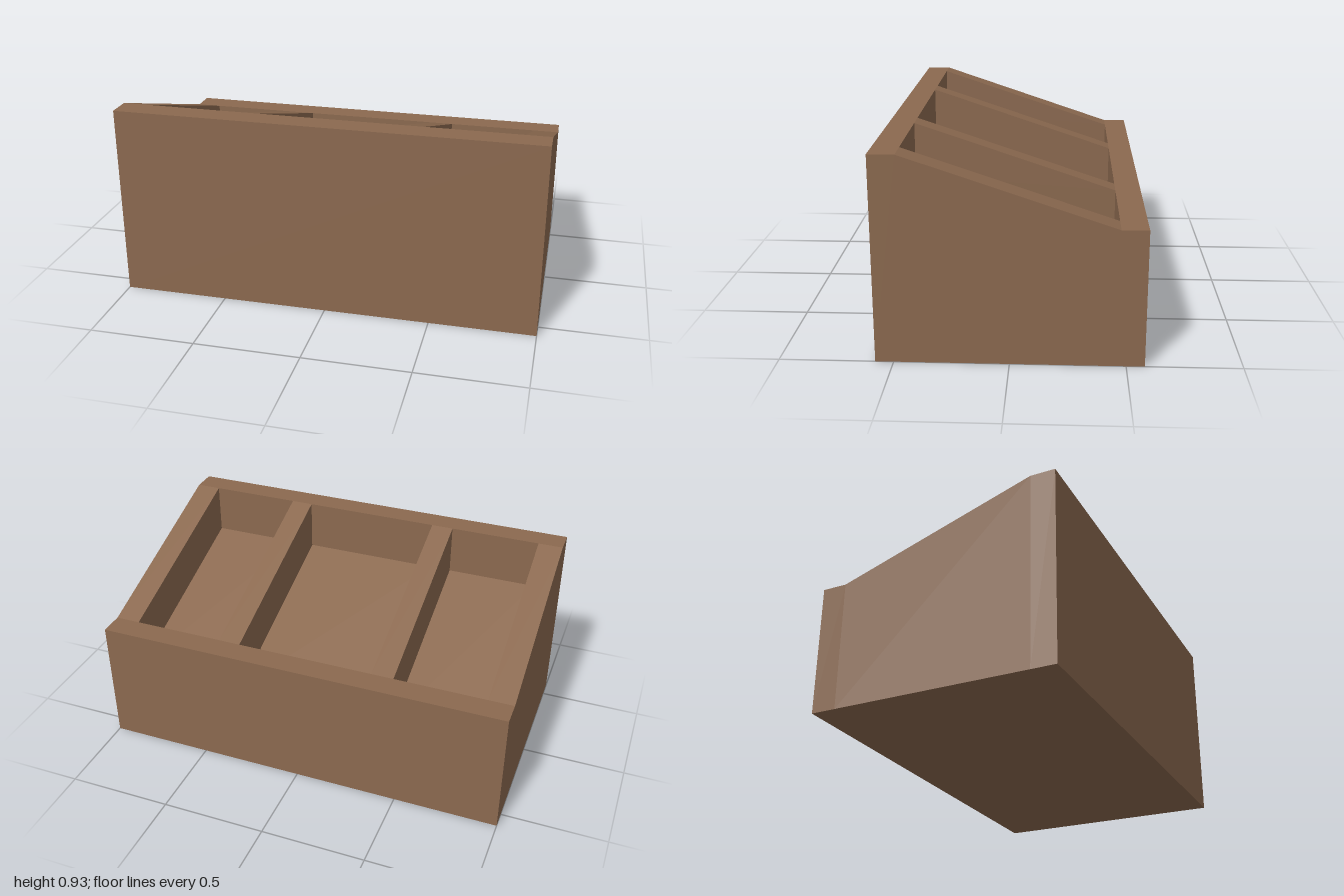
import * as THREE from 'three';

const HALF_X = 1, HALF_Z = 0.58, SLOPE_Z = 0.463;
const FRONT_Y = 0.925, BACK_Y = 0.615, DEPTH = 0.245;

const wood = new THREE.MeshStandardMaterial({ color: 0x8b694f, flatShading: true });

function quad(out, a, b, c, d) {
  out.push(...a, ...b, ...c, ...a, ...c, ...d);
}

// Sweep a [z, y] profile from x0 to x1
function sweep(out, x0, x1, profile) {
  for (let i = 0; i < profile.length - 1; i++) {
    const [z0, y0] = profile[i], [z1, y1] = profile[i + 1];
    quad(out, [x0, y0, z0], [x1, y0, z0], [x1, y1, z1], [x0, y1, z1]);
  }
}

// Upright wall at x facing +x or -x, through [z, bottom, top] stations, front to back
function sideWall(out, x, facing, stations) {
  for (let i = 0; i < stations.length - 1; i++) {
    const [zf, bf, tf] = stations[i], [zb, bb, tb] = stations[i + 1];
    const c = [[x, bf, zf], [x, bb, zb], [x, tb, zb], [x, tf, zf]];
    if (facing < 0) c.reverse();
    quad(out, ...c);
  }
}

function toMesh(name, positions) {
  const geometry = new THREE.BufferGeometry();
  geometry.setAttribute('position', new THREE.Float32BufferAttribute(positions, 3));
  geometry.computeVertexNormals();
  const mesh = new THREE.Mesh(geometry, wood);
  mesh.name = name;
  return mesh;
}

export function createModel() {
  const group = new THREE.Group();
  group.name = 'slopedCompartmentBox';
  const compartments = [
    ['rightCompartment', -0.88, -0.44],
    ['middleCompartment', -0.333, 0.333],
    ['leftCompartment', 0.44, 0.88],
  ];

  // Outer case: back, underside, front and the two level rims
  const shell = [];
  sweep(shell, -HALF_X, HALF_X, [
    [-SLOPE_Z, BACK_Y], [-HALF_Z, BACK_Y], [-HALF_Z, 0],
    [HALF_Z, 0], [HALF_Z, FRONT_Y], [SLOPE_Z, FRONT_Y],
  ]);
  for (const s of [-1, 1]) {
    sideWall(shell, s * HALF_X, s, [
      [HALF_Z, 0, FRONT_Y], [SLOPE_Z, 0, FRONT_Y],
      [-SLOPE_Z, 0, BACK_Y], [-HALF_Z, 0, BACK_Y],
    ]);
  }
  group.add(toMesh('outerCase', shell));

  // Sloping tops of the end walls and dividers, between the compartments
  const tops = [];
  const edges = [-HALF_X, ...compartments.flatMap(([, a, b]) => [a, b]), HALF_X];
  for (let i = 0; i < edges.length; i += 2) {
    sweep(tops, edges[i], edges[i + 1], [[SLOPE_Z, FRONT_Y], [-SLOPE_Z, BACK_Y]]);
  }
  group.add(toMesh('dividerTops', tops));

  // Open compartments whose floors run parallel to the slope
  for (const [name, x0, x1] of compartments) {
    const pocket = [];
    sweep(pocket, x0, x1, [
      [SLOPE_Z, FRONT_Y], [SLOPE_Z, FRONT_Y - DEPTH],
      [-SLOPE_Z, BACK_Y - DEPTH], [-SLOPE_Z, BACK_Y],
    ]);
    const stations = [
      [SLOPE_Z, FRONT_Y - DEPTH, FRONT_Y], [-SLOPE_Z, BACK_Y - DEPTH, BACK_Y],
    ];
    sideWall(pocket, x0, 1, stations);
    sideWall(pocket, x1, -1, stations);
    group.add(toMesh(name, pocket));
  }
  return group;
}
